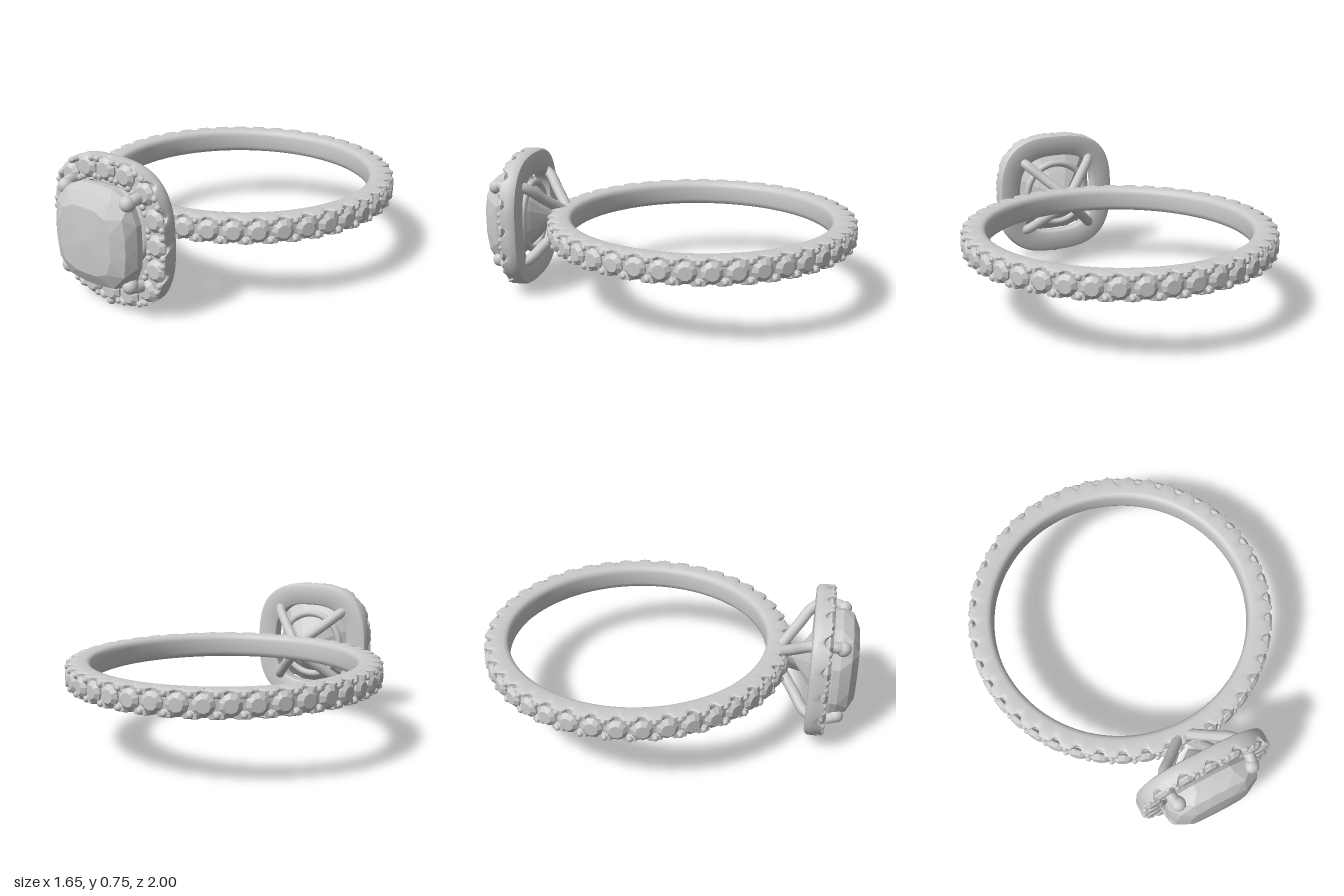
import * as THREE from 'three';
import { toCreasedNormals } from 'three/addons/utils/BufferGeometryUtils.js';

const BAND_GEMS = 42, HALO_GEMS = 16;
const UP = new THREE.Vector3(0, 1, 0);
const metal = new THREE.MeshStandardMaterial({ color: 0xcccccc });
const facet = new THREE.MeshStandardMaterial({ color: 0xcccccc, flatShading: true });

// Point on a rounded-square (superellipse) outline
function cushion(half, n, a) {
  const c = Math.cos(a), s = Math.sin(a);
  const r = half / Math.pow(Math.abs(c) ** n + Math.abs(s) ** n, 1 / n);
  return [r * c, r * s];
}

// Skin cushion-shaped loops; each row is [half size, z, dip at the gems, turn in steps]
function loft(rows, n, seg) {
  const pos = [], idx = [];
  for (const [half, z, dip = 0, turn = 0] of rows) {
    for (let j = 0; j < seg; j++) {
      const a = (j + turn) / seg * Math.PI * 2;
      pos.push(...cushion(half, n, a), z - dip * Math.max(0, Math.cos(a * HALO_GEMS)));
    }
  }
  for (let i = 0; i < rows.length - 1; i++) {
    for (let j = 0; j < seg; j++) {
      const k = (j + 1) % seg, a = i * seg + j, b = i * seg + k;
      const c = a + seg, d = b + seg;
      if ((rows[i][3] || 0) > (rows[i + 1][3] || 0)) idx.push(a, b, d, a, d, c);
      else idx.push(a, b, c, b, d, c);
    }
  }
  const g = new THREE.BufferGeometry();
  g.setAttribute('position', new THREE.Float32BufferAttribute(pos, 3));
  g.setIndex(idx);
  g.computeVertexNormals();
  return g;
}

function add(parent, name, geometry, material, position, direction) {
  const m = new THREE.Mesh(geometry, material);
  m.name = name;
  if (position) m.position.copy(position);
  if (direction) m.quaternion.setFromUnitVectors(UP, direction);
  parent.add(m);
  return m;
}

// Small round cut gem, table towards +y
function gemGeometry(r) {
  const p = [[0, -0.045], [r, -0.004], [r, 0.004], [r * 0.62, 0.021], [0, 0.021]];
  return new THREE.LatheGeometry(p.map(q => new THREE.Vector2(...q)), 10);
}

function buildBand() {
  const band = new THREE.Group();
  band.name = 'band';
  // Closed section, lower half mirrored to the upper half
  const low = [[0.69, -0.035], [0.694, -0.052], [0.705, -0.063], [0.72, -0.067],
    [0.765, -0.067], [0.795, -0.066], [0.808, -0.06], [0.808, -0.035], [0.792, -0.028]];
  const ring = [...low, ...low.map(([r, y]) => [r, -y]).reverse(), low[0]];
  const g = new THREE.LatheGeometry(ring.map(q => new THREE.Vector2(...q)), BAND_GEMS * 8);
  // Scallop the outer edges at every gem
  const p = g.attributes.position;
  for (let i = 0; i < p.count; i++) {
    const x = p.getX(i), z = p.getZ(i), r = Math.hypot(x, z);
    if (r < 0.793 || Math.abs(p.getY(i)) < 0.03) continue;
    const wave = Math.max(0, Math.cos(Math.atan2(x, z) * BAND_GEMS));
    const k = (r - 0.032 * Math.sqrt(wave)) / r;
    p.setX(i, x * k);
    p.setZ(i, z * k);
  }
  add(band, 'shank', toCreasedNormals(g, 0.7), metal);

  const gem = gemGeometry(0.055), bead = new THREE.SphereGeometry(0.016, 8, 6);
  for (let i = 0; i < BAND_GEMS; i++) {
    const a = i / BAND_GEMS * Math.PI * 2, b = a + Math.PI / BAND_GEMS;
    const out = new THREE.Vector3(Math.sin(a), 0, Math.cos(a));
    if (i > 0) add(band, 'bandGem', gem, facet, out.clone().multiplyScalar(0.801), out);
    for (const y of [-0.046, 0.046]) {
      add(band, 'bandBead', bead, metal,
        new THREE.Vector3(Math.sin(b) * 0.807, y, Math.cos(b) * 0.807));
    }
  }
  return band;
}

function buildHead() {
  const head = new THREE.Group();
  head.name = 'head';

  // Halo frame
  const frame = [[0.24, 0.758], [0.25, 0.75], [0.34, 0.75], [0.355, 0.755], [0.363, 0.77],
    [0.364, 0.8], [0.362, 0.838, 0.035], [0.345, 0.842, 0.03], [0.335, 0.828], [0.265, 0.828],
    [0.245, 0.835], [0.24, 0.825], [0.24, 0.758]];
  add(head, 'haloFrame', toCreasedNormals(loft(frame, 2.8, HALO_GEMS * 8), 0.7), metal);

  // Halo gems, with beads in the gaps
  const gem = gemGeometry(0.058), bead = new THREE.SphereGeometry(0.016, 8, 6);
  const front = new THREE.Vector3(0, 0, 1);
  for (let i = 0; i < HALO_GEMS; i++) {
    const a = i / HALO_GEMS * Math.PI * 2;
    add(head, 'haloGem', gem, facet, new THREE.Vector3(...cushion(0.308, 2.8, a), 0.832), front);
    for (const half of [0.265, 0.35]) {
      for (const s of [0.36, 0.64]) {
        const at = cushion(half, 2.8, a + s * Math.PI * 2 / HALO_GEMS);
        add(head, 'haloBead', bead, metal, new THREE.Vector3(...at, 0.837));
      }
    }
  }
  add(head, 'lowerBead', new THREE.SphereGeometry(0.024, 10, 8), metal,
    new THREE.Vector3(-0.005, -0.364, 0.83));

  // Large cushion cut stone
  const stone = [[0, 0.65], [0.13, 0.752, 0, 0], [0.25, 0.865, 0, 0], [0.252, 0.9, 0, 0],
    [0.228, 0.955, 0, 0.5], [0.165, 0.99, 0, 0], [0, 1]];
  add(head, 'centreStone', loft(stone, 3.5, 16), facet);

  // Ring under the stone
  add(head, 'supportRing', new THREE.TorusGeometry(0.185, 0.02, 10, 48), metal,
    new THREE.Vector3(0, 0, 0.775));

  // Four struts rising from the band and closing as claws over the stone
  const tip = new THREE.SphereGeometry(0.039, 14, 10);
  for (const sx of [-1, 1]) {
    for (const sy of [-1, 1]) {
      const path = [[0.035, 0.05, 0.595], [0.12, 0.125, 0.67], [0.205, 0.205, 0.755],
        [0.218, 0.218, 0.86], [0.203, 0.203, 0.915]];
      const curve = new THREE.CatmullRomCurve3(
        path.map(([x, y, z]) => new THREE.Vector3(x * sx, y * sy, z)));
      add(head, 'claw', new THREE.TubeGeometry(curve, 24, 0.029, 10), metal);
      add(head, 'clawTip', tip, metal, new THREE.Vector3(0.203 * sx, 0.203 * sy, 0.905));
      add(head, 'clawFoot', new THREE.SphereGeometry(0.029, 10, 8), metal,
        new THREE.Vector3(0.035 * sx, 0.05 * sy, 0.595));
    }
  }
  return head;
}

export function createModel() {
  const model = new THREE.Group();
  model.name = 'ring';
  const band = buildBand();
  band.position.set(0, 0.392, -0.177);
  const head = buildHead();
  head.position.set(-0.024, 0.388, 0);
  model.add(band, head);
  return model;
}
